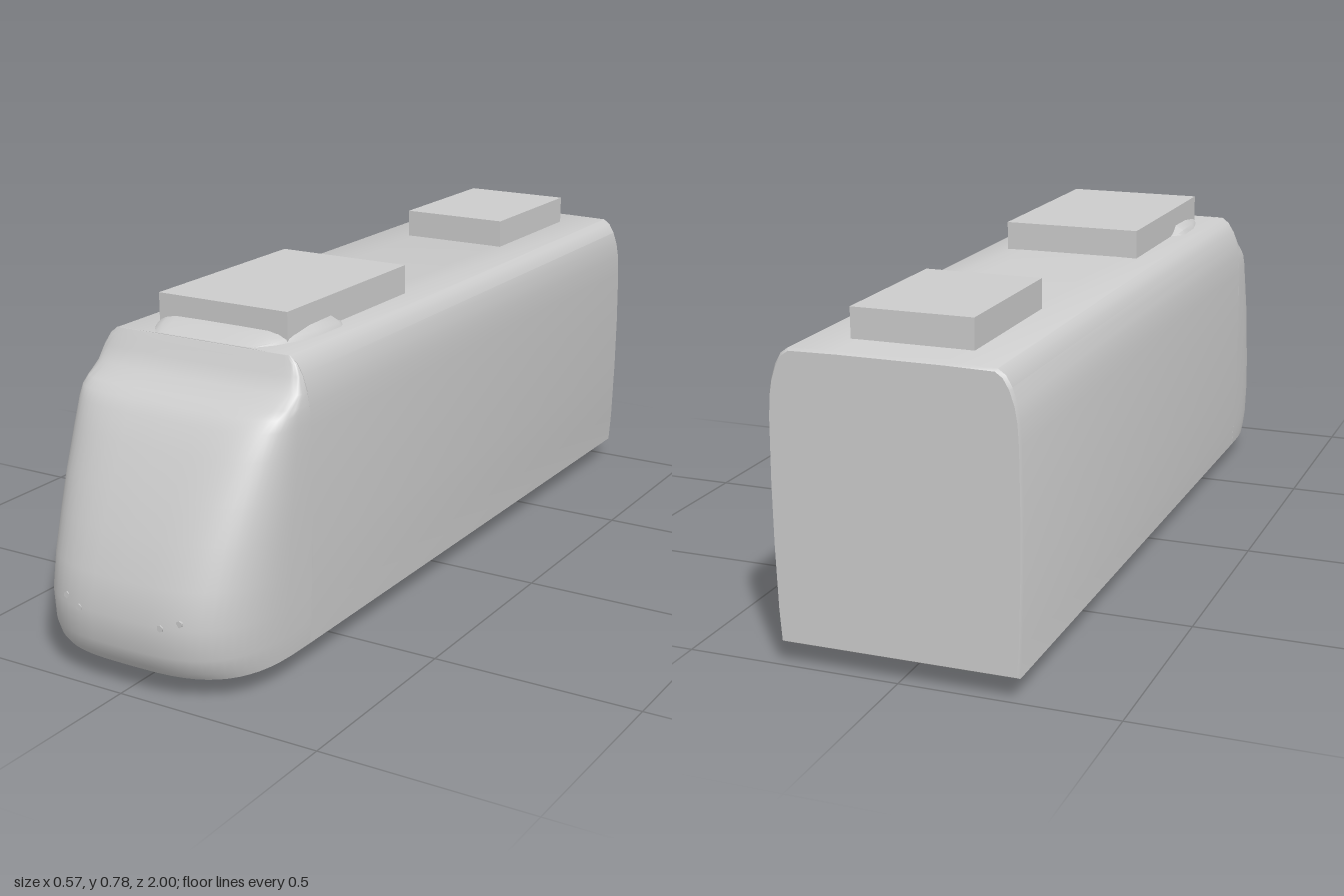
import * as THREE from 'three';
import { toCreasedNormals } from 'three/addons/utils/BufferGeometryUtils.js';

// Skin a list of closed rings (equal point counts) and cap both ends.
function loft(rings, crease = 0.6) {
  const n = rings[0].length;
  const pos = rings.flat(2);
  const index = [];
  rings.slice(1).forEach((_, i) => {
    for (let j = 0; j < n; j++) {
      const k = (j + 1) % n;
      const a = i * n + j, b = i * n + k, c = b + n, d = a + n;
      index.push(a, b, c, a, c, d);
    }
  });
  [0, rings.length - 1].forEach((r) => {
    const centre = [0, 1, 2].map((q) => rings[r].reduce((s, p) => s + p[q], 0) / n);
    const m = pos.length / 3;
    pos.push(...centre);
    for (let j = 0; j < n; j++) {
      const a = r * n + j, b = r * n + ((j + 1) % n);
      if (r === 0) index.push(m, b, a);
      else index.push(m, a, b);
    }
  });
  const geo = new THREE.BufferGeometry();
  geo.setAttribute('position', new THREE.Float32BufferAttribute(pos, 3));
  geo.setIndex(index);
  return toCreasedNormals(geo, crease);
}

const SEAM = 0.67; // where the nose meets the saloon

// Half cross-section of the body: [half width, height]
const SECTION = [
  [0.275, 0.055], [0.28, 0.13], [0.284, 0.28], [0.285, 0.42], [0.283, 0.56],
  [0.28, 0.61], [0.274, 0.645], [0.263, 0.678], [0.249, 0.702], [0.232, 0.714], [0.12, 0.716],
];

// Nose levels: [height, half width, front z, corner squareness]
const NOSE = [
  [0.055, 0.275, 0.965, 3.2], [0.075, 0.277, 0.983, 3.2], [0.11, 0.279, 0.995, 3.3],
  [0.18, 0.281, 1.0, 3.3], [0.26, 0.283, 0.98, 3.3], [0.35, 0.284, 0.942, 3.4],
  [0.43, 0.285, 0.905, 3.5], [0.52, 0.284, 0.855, 3.7], [0.575, 0.283, 0.82, 4],
  [0.6, 0.281, 0.797, 4.3], [0.615, 0.279, 0.768, 4.5], [0.64, 0.274, 0.717, 4.5],
  [0.675, 0.263, 0.695, 4.5], [0.7, 0.249, 0.682, 4.5], [0.715, 0.232, 0.673, 4.5],
];

function noseRing([y, w, front, p]) {
  const ring = [];
  for (let i = 0; i <= 28; i++) {
    const a = (Math.PI * i) / 28;
    const c = Math.cos(a), s = Math.max(Math.sin(a), 0);
    ring.push([-w * Math.sign(c) * Math.abs(c) ** (2 / p), y, SEAM + (front - SEAM) * s ** (2 / p)]);
  }
  return ring;
}

export function createModel() {
  const group = new THREE.Group();
  const grey = new THREE.MeshStandardMaterial({ color: 0xcccccc });
  grey.name = 'light grey';
  const add = (name, geo, x = 0, y = 0, z = 0) => {
    const mesh = new THREE.Mesh(geo, grey);
    mesh.name = name;
    mesh.position.set(x, y, z);
    group.add(mesh);
    return mesh;
  };

  // Saloon with a slightly softened rear edge
  const bodyRing = (z, k) => [
    ...SECTION.map(([x, y]) => [x * k, 0.385 + (y - 0.385) * k, z]),
    ...[...SECTION].reverse().map(([x, y]) => [-x * k, 0.385 + (y - 0.385) * k, z]),
  ];
  add('body', loft([bodyRing(-1, 0.985), bodyRing(-0.992, 1), bodyRing(SEAM, 1)]));

  // Rounded driver's cab
  add('nose', loft(NOSE.map(noseRing), 0.7));

  // Low fairing on the roof behind the cab: [z, half width, height]
  const fairing = [
    [0.36, 0.17, 0.002], [0.39, 0.195, 0.012], [0.41, 0.202, 0.03], [0.5, 0.2, 0.029],
    [0.57, 0.185, 0.025], [0.62, 0.165, 0.016], [0.665, 0.135, 0.001],
  ].map(([z, w, h]) => {
    const half = [[1, -0.004], [0.96, h * 0.35], [0.85, h * 0.75], [0.7, h * 0.97], [0.3, h]];
    return [
      ...half.map(([k, y]) => [w * k, 0.715 + y, z]),
      ...[...half].reverse().map(([k, y]) => [-w * k, 0.715 + y, z]),
    ];
  });
  add('roofFairing', loft(fairing, 0.7));

  // Equipment boxes on the roof
  add('frontRoofBox', new THREE.BoxGeometry(0.346, 0.07, 0.52), 0, 0.75, 0.33);
  add('rearRoofBox', new THREE.BoxGeometry(0.28, 0.07, 0.385), 0, 0.75, -0.698);

  // Wheels, half hidden in the floor
  const wheel = toCreasedNormals(new THREE.CylinderGeometry(0.06, 0.06, 0.022, 10).rotateZ(Math.PI / 2), 0.3);
  for (const side of [1, -1]) {
    const label = side > 0 ? 'left' : 'right';
    add(label + 'FrontWheel', wheel, side * 0.164, 0.06, 0.005);
    add(label + 'RearWheel', wheel, side * 0.164, 0.06, -0.388);

    // Small hexagonal headlamps set almost flush in the nose
    const lamp = new THREE.CylinderGeometry(0.008, 0.008, 0.03, 6).rotateX(Math.PI / 2);
    for (const [name, x, y, w, p, f] of [
      ['OuterLamp', 0.151, 0.194, 0.281, 3.3, 0.997],
      ['InnerLamp', 0.109, 0.179, 0.281, 3.3, 1.0],
    ]) {
      const z = SEAM + (f - SEAM) * (1 - (x / w) ** p) ** (1 / p);
      add(label + name, lamp, side * x, y, z - 0.0135);
    }
  }
  return group;
}
